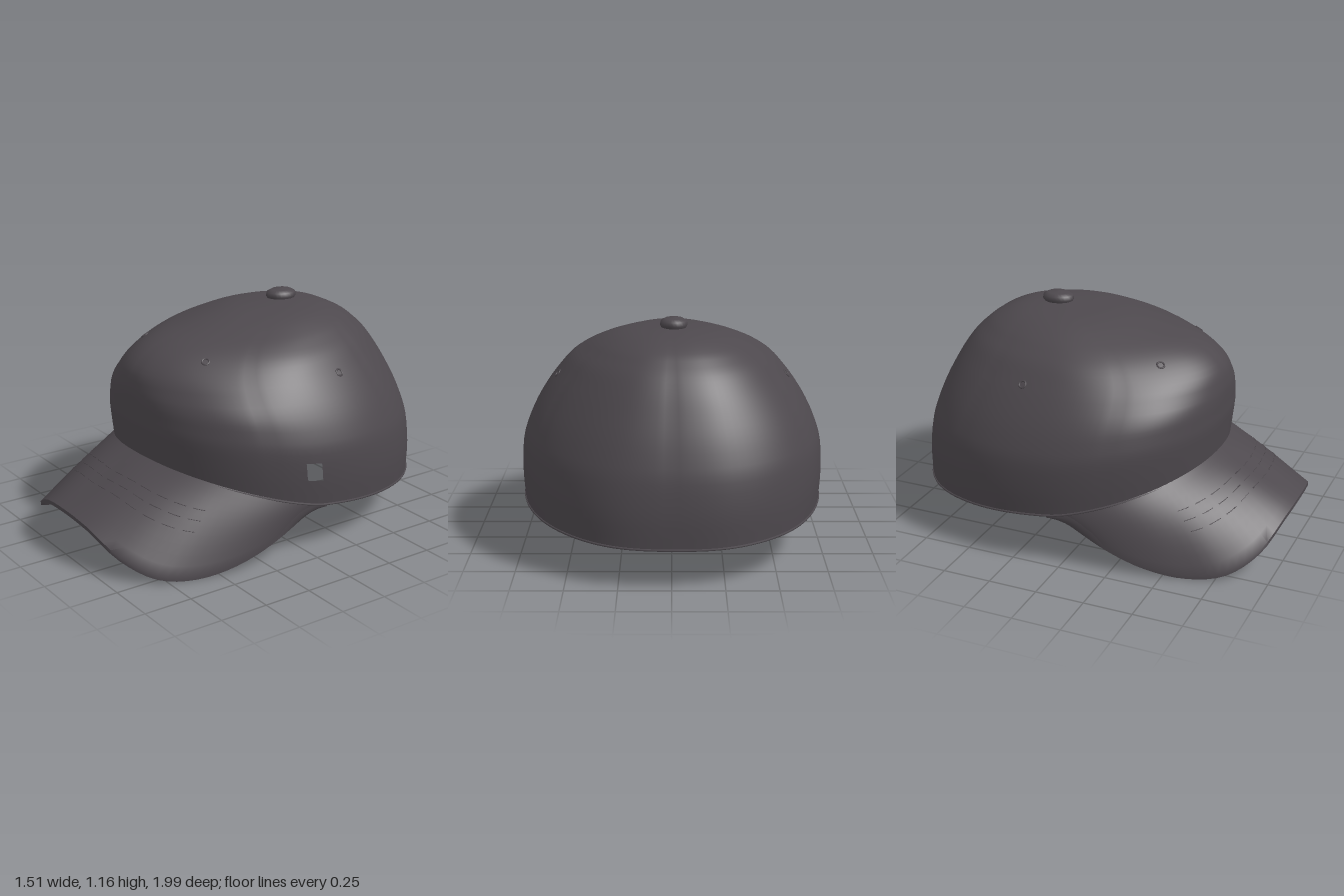
import * as THREE from 'three';
import { toCreasedNormals } from 'three/addons/utils/BufferGeometryUtils.js';

const fabric = new THREE.MeshStandardMaterial({ color: 0x4d484d, side: THREE.DoubleSide });
fabric.name = 'charcoal fabric';

// Crown slices: height, front z, back z, half width
const slices = [
  [0.20, 0.58, -0.985, 0.745], [0.35, 0.59, -0.985, 0.755], [0.50, 0.60, -0.965, 0.75],
  [0.60, 0.60, -0.935, 0.725], [0.70, 0.60, -0.895, 0.685], [0.80, 0.595, -0.845, 0.63],
  [0.88, 0.57, -0.80, 0.57], [0.95, 0.50, -0.75, 0.508], [1.00, 0.40, -0.70, 0.44],
  [1.04, 0.26, -0.65, 0.372], [1.08, 0.10, -0.57, 0.28], [1.105, -0.05, -0.48, 0.17],
  [1.12, -0.33, -0.33, 0],
];
const spline = (pts, closed = false) => new THREE.CatmullRomCurve3(pts, closed, 'catmullrom', 0.5);
const outline = spline(slices.map(([, f, b, w]) => new THREE.Vector3(f, b, w)));
const heights = spline(slices.map(([y], i) => new THREE.Vector3(i, y, 0)));
// Slight unevenness of the cloth, every 22.5 degrees from the front towards +x
const bulge = spline([
  1, 1.005, 1.01, 1.005, 1, 1, 1.01, 1.02, 1, 1.035, 1.04, 1.015, 1, 1.01, 1.02, 1.01,
].map((r) => new THREE.Vector3(r, 0, 0)), true);
const rad = THREE.MathUtils.degToRad;
const TURN = Math.PI * 2;

// The bottom rim rises towards the front, where the brim joins
function rimHeight(z) {
  return z < -0.04 ? 0.27 + 0.084 * (z + 0.04) : 0.27 + 0.175 * ((z + 0.04) / 0.62) ** 1.2;
}

// Point on the crown: angle from the front towards +x, v from rim to top
function crownPoint(angle, v) {
  const o = outline.getPoint(v);
  let y = heights.getPoint(v).y;
  const at = (s) => (s.x + s.y) / 2 + ((s.x - s.y) / 2) * Math.cos(angle);
  if (y < 0.8) {
    const rim = rimHeight(at(outline.getPoint(0)));
    y = rim + ((y - 0.2) / 0.6) * (0.8 - rim);
  }
  // Six sewn creases; the upper front falls away on both sides of its middle
  const off = Math.asin(Math.sin(angle * 3)) / 3;
  const crease = 0.005 * Math.exp(-((off / 0.04) ** 2)) * Math.sin(Math.PI * v);
  const front = Math.cos(angle) > 0 ? Math.sin(2 * angle) ** 2 : 0;
  const slope = 0.09 * front * THREE.MathUtils.smoothstep(v, 0.3, 0.62);
  const wrapped = (((angle / TURN) % 1) + 1) % 1;
  const r = bulge.getPoint(wrapped).x - crease - slope;
  const middle = (o.x + o.y) / 2;
  return new THREE.Vector3(o.z * Math.sin(angle) * r, y, middle + (at(o) - middle) * r);
}

function crownNormal(angle, v) {
  const e = 0.01;
  const du = crownPoint(angle + e, v).sub(crownPoint(angle - e, v));
  const dv = crownPoint(angle, v + e).sub(crownPoint(angle, v - e));
  return du.cross(dv).normalize();
}

// Surface from a grid of points; skip leaves out cells
function grid(nu, nv, point, { wrapU = false, wrapV = false, skip = () => false } = {}) {
  const cols = wrapU ? nu : nu + 1;
  const rows = wrapV ? nv : nv + 1;
  const pos = [];
  const index = [];
  for (let j = 0; j < rows; j++)
    for (let i = 0; i < cols; i++) pos.push(...point(i, j).toArray());
  const id = (i, j) => (j % rows) * cols + (i % cols);
  for (let j = 0; j < nv; j++)
    for (let i = 0; i < nu; i++) {
      if (skip(i, j)) continue;
      const a = id(i, j), b = id(i + 1, j), c = id(i + 1, j + 1), d = id(i, j + 1);
      index.push(a, b, c, a, c, d);
    }
  const g = new THREE.BufferGeometry();
  g.setAttribute('position', new THREE.Float32BufferAttribute(pos, 3));
  g.setIndex(index);
  g.computeVertexNormals();
  return g;
}

export function createModel() {
  const cap = new THREE.Group();
  cap.name = 'cap';
  const add = (name, geometry) => {
    const mesh = new THREE.Mesh(geometry, fabric);
    mesh.name = name;
    cap.add(mesh);
    return mesh;
  };
  const tube = (name, pts, radius, closed = false) =>
    add(name, new THREE.TubeGeometry(spline(pts, closed), pts.length * 2, radius, 6, closed));
  const range = (n, f) => Array.from({ length: n }, (_, i) => f(i));

  // Crown, with a small opening in its +x side
  const segs = 120;
  const turn = (i) => (i / segs) * TURN;
  add('crown', grid(segs, 36, (i, j) => crownPoint(turn(i), j / 36), {
    wrapU: true,
    skip: (i, j) => (i === 24 || i === 25) && (j === 3 || j === 4),
  }));

  // Sweatband inside and hem around the rim
  add('sweatband', grid(segs, 2, (i, j) => {
    const p = crownPoint(turn(i), j * 0.025);
    return p.set(p.x * 0.985, p.y, -0.2 + (p.z + 0.2) * 0.985);
  }, { wrapU: true }));
  tube('hem', range(60, (i) => crownPoint(turn(i * 2), 0)), 0.006, true);

  // Eyelets, mirrored
  for (const side of [1, -1])
    for (const [deg, v] of [[36, 0.59], [102, 0.485]]) {
      const n = crownNormal(rad(deg * side), v);
      const eyelet = add('eyelet', new THREE.TorusGeometry(0.018, 0.005, 6, 14));
      eyelet.position.copy(crownPoint(rad(deg * side), v));
      eyelet.quaternion.setFromUnitVectors(new THREE.Vector3(0, 0, 1), n);
    }

  // Top button
  const profile = [[0, -0.03], [0.055, -0.03], [0.068, -0.005], [0.064, 0.015], [0.045, 0.027], [0, 0.032]];
  const button = add('topButton', new THREE.LatheGeometry(profile.map(([x, y]) => new THREE.Vector2(x, y)), 24));
  button.position.set(-0.01, 1.13, -0.33);
  button.scale.z = 1.22;

  // Brim: curved sheet from the crown seam to the outer edge
  const half = [
    [0.2, 0.22, 0.985], [0.4, 0.122, 0.925], [0.535, 0.043, 0.8], [0.605, 0.02, 0.62],
    [0.655, 0.055, 0.42], [0.685, 0.135, 0.22], [0.70, 0.26, 0],
  ];
  const edge = spline([
    ...half.map(([x, y, z]) => new THREE.Vector3(x, y, z)).reverse(),
    new THREE.Vector3(0, 0.245, 1),
    ...half.map(([x, y, z]) => new THREE.Vector3(-x, y, z)),
  ]);
  const brimPoint = (u, w) => {
    const t = 1 - 2 * u;
    const inner = crownPoint(rad(80 * t), 0);
    inner.y += 0.008;
    const p = inner.lerp(edge.getPoint(u), w);
    p.y += 0.03 * Math.sin(Math.PI * w) * Math.sin(Math.PI * Math.abs(t));
    return p;
  };
  const n = 10;
  const brim = grid(56, 2 * n + 2, (i, j) => {
    const top = j <= n;
    const p = brimPoint(i / 56, (top ? j : 2 * n + 1 - j) / n);
    if (!top) p.y -= 0.02;
    return p;
  }, { wrapV: true });
  add('brim', toCreasedNormals(brim, 0.9));

  // Dashed stitch rows on the brim
  for (const w of [0.33, 0.45, 0.57])
    for (let k = 0; k < 12; k++)
      tube('brimStitch', range(4, (i) => brimPoint(0.25 + k * 0.042 + i * 0.009, w)), 0.002);

  return cap;
}
